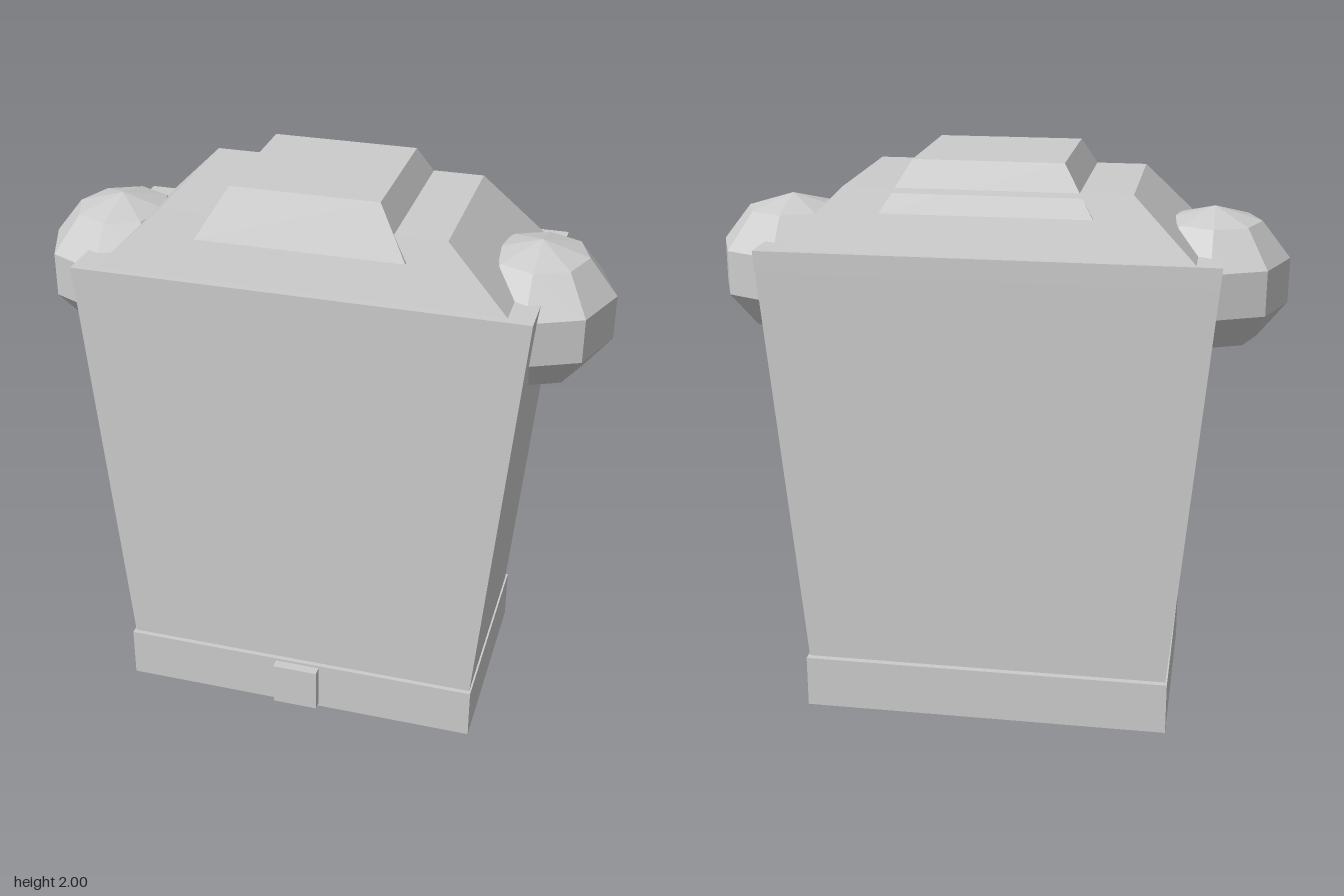
import * as THREE from 'three';

// Box between two rectangles: each is { y, x: half width, back, front }
function taperedBlock(bottom, top) {
  const geometry = new THREE.BoxGeometry(2, 2, 2);
  const p = geometry.attributes.position;
  for (let i = 0; i < p.count; i++) {
    const s = p.getY(i) > 0 ? top : bottom;
    p.setXYZ(i, Math.sign(p.getX(i)) * s.x, s.y, p.getZ(i) > 0 ? s.front : s.back);
  }
  geometry.computeVertexNormals();
  return geometry;
}

export function createModel() {
  const model = new THREE.Group();
  model.name = 'torso';
  const grey = new THREE.MeshStandardMaterial({ color: 0xcccccc });
  grey.name = 'plain grey';

  function add(name, geometry) {
    const mesh = new THREE.Mesh(geometry, grey);
    mesh.name = name;
    model.add(mesh);
    return mesh;
  }
  const section = (y, x, back, front) => ({ y, x, back, front });

  // Belt and buckle
  add('belt', taperedBlock(section(0, 0.655, -0.4, 0.365), section(0.19, 0.655, -0.4, 0.365)));
  add('buckle', taperedBlock(section(0.015, 0.083, 0.3, 0.4), section(0.18, 0.083, 0.3, 0.4)));

  // Chest widens upward and ends in a narrow upright rim
  add('chest', taperedBlock(section(0.185, 0.648, -0.377, 0.348), section(1.63, 0.774, -0.392, 0.362)));
  add('rim', taperedBlock(section(1.625, 0.774, -0.395, 0.365), section(1.7, 0.78, -0.395, 0.365)));

  // Sloped shoulders with the stepped collar on top
  add('shoulderSlope', taperedBlock(section(1.695, 0.7, -0.376, 0.336), section(1.91, 0.483, -0.31, 0.272)));
  add('collar', taperedBlock(section(1.83, 0.355, -0.342, 0.308), section(2, 0.253, -0.27, 0.235)));

  // Faceted shoulder pads
  for (const side of [-1, 1]) {
    const ball = new THREE.SphereGeometry(1, 8, 5).scale(0.273, 0.25, 0.304).toNonIndexed();
    ball.computeVertexNormals();
    const pad = add(side > 0 ? 'leftShoulderPad' : 'rightShoulderPad', ball);
    pad.position.set(side * 0.74, 1.577, -0.018);
  }

  return model;
}
